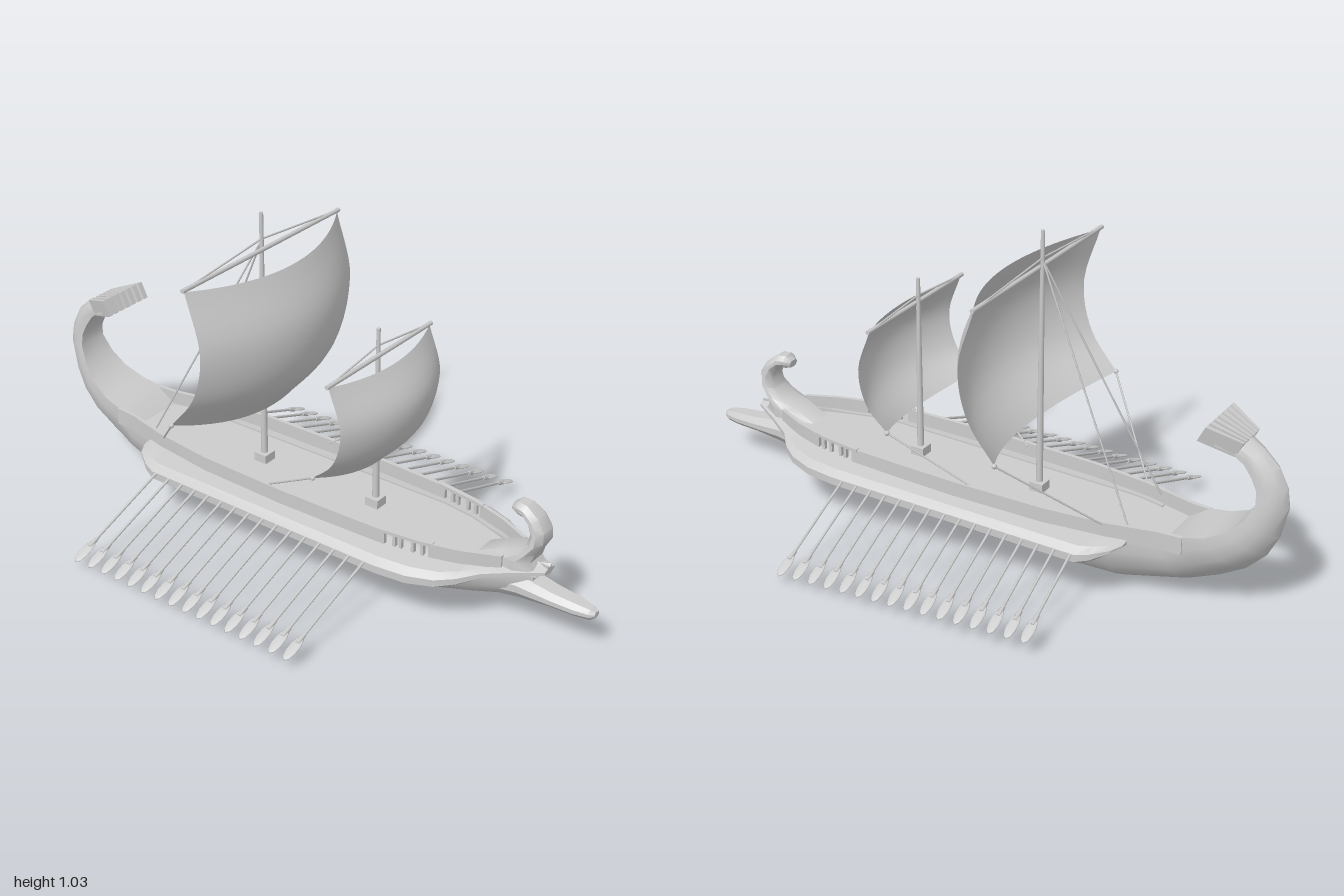
import * as THREE from 'three';
import { toCreasedNormals } from 'three/addons/utils/BufferGeometryUtils.js';

const V = (x, y, z) => new THREE.Vector3(x, y, z);
const mat = new THREE.MeshStandardMaterial({ color: 0xcccccc });
const thin = new THREE.MeshStandardMaterial({ color: 0xcccccc, side: THREE.DoubleSide });

function add(parent, name, geometry, material = mat) {
  const m = new THREE.Mesh(geometry, material);
  m.name = name;
  parent.add(m);
  return m;
}

// Closed skin over a list of closed rings, capped at both ends and wound outwards
function loft(rings, crease = 0.6) {
  const n = rings[0].length, pts = rings.flat(), tris = [];
  for (let i = 0; i < rings.length - 1; i++) {
    for (let j = 0; j < n; j++) {
      const a = i * n + j, b = i * n + (j + 1) % n;
      tris.push([a, b, a + n], [b, b + n, a + n]);
    }
  }
  [0, rings.length - 1].forEach((i, end) => {
    const c = pts.length, mid = V(0, 0, 0);
    rings[i].forEach(p => mid.addScaledVector(p, 1 / n));
    pts.push(mid);
    for (let j = 0; j < n; j++) {
      const a = i * n + j, b = i * n + (j + 1) % n;
      tris.push(end ? [a, b, c] : [b, a, c]);
    }
  });
  let volume = 0;
  for (const [a, b, c] of tris) volume += pts[a].dot(pts[b].clone().cross(pts[c]));
  if (volume < 0) tris.forEach(t => t.reverse());
  const g = new THREE.BufferGeometry().setFromPoints(pts);
  g.setIndex(tris.flat());
  return toCreasedNormals(g, crease);
}

// Symmetric ring between a lower/outer and an upper/inner centreline point;
// profile holds [width fraction, height fraction]
function ring([z0, y0, z1, y1, w], profile) {
  const half = s => profile.map(([f, t]) => V(s * f * w, y0 + (y1 - y0) * t, z0 + (z1 - z0) * t));
  return [...half(1), ...half(-1).reverse()];
}

// Round bar between two points
function rod(parent, name, a, b, r0, r1 = r0, sides = 8) {
  const m = add(parent, name, new THREE.CylinderGeometry(r1, r0, a.distanceTo(b), sides));
  m.position.copy(a).lerp(b, 0.5);
  m.quaternion.setFromUnitVectors(V(0, 1, 0), b.clone().sub(a).normalize());
  return m;
}

// Linear lookup of deck half-width along z
const beam = [[0.8, 0.02], [0.72, 0.065], [0.62, 0.11], [0.5, 0.145], [0.36, 0.163], [0, 0.17],
  [-0.3, 0.163], [-0.5, 0.14], [-0.65, 0.105]];
function halfBeam(z) {
  for (let i = 0; i < beam.length - 1; i++) {
    const [a, wa] = beam[i], [b, wb] = beam[i + 1];
    if (z <= a && z >= b) return wa + (wb - wa) * (a - z) / (a - b);
  }
  return z > 0 ? 0.02 : 0.1;
}

function buildHull(ship) {
  // Hull, sweeping up into the curled sternpost
  const keel = [0.11, 0.085, 0.052, 0.018, 0, 0, 0, 0, 0.055];
  const stations = beam.map(([z, w], i) => [i === 8 ? -0.7 : z, keel[i], z, 0.2, w]);
  stations.push([-0.8, 0.1, -0.71, 0.243, 0.098], [-0.88, 0.148, -0.78, 0.258, 0.09], [-0.94, 0.21, -0.845, 0.29, 0.075],
    [-0.975, 0.28, -0.888, 0.335, 0.062], [-0.997, 0.38, -0.915, 0.39, 0.05], [-0.988, 0.44, -0.912, 0.43, 0.046],
    [-0.96, 0.495, -0.895, 0.465, 0.045], [-0.91, 0.54, -0.87, 0.5, 0.046], [-0.86, 0.567, -0.84, 0.527, 0.055],
    [-0.81, 0.588, -0.79, 0.55, 0.075]);
  const vee = [[0.02, 0], [0.5, 0.2], [0.84, 0.45], [0.98, 0.75], [1, 1]];
  add(ship, 'hull', loft(stations.map(s => ring(s, vee))));

  // Fan of slats at the end of the sternpost
  for (let i = -3; i <= 3; i++) {
    const slat = [[-0.865, 0.56, 0.016, 0.004], [-0.765, 0.6, 0.027, 0.009]].map(([z, y, dx, h]) =>
      [[-h, 0.008], [h, 0.008], [h, -0.04], [-h, -0.04]].map(([x, d]) => V(i * dx + x, y + d, z - d * 0.5)));
    add(ship, 'sternFanSlat', loft(slat));
  }

  // Ram
  const block = [[0.55, 0], [1, 0.35], [1, 0.65], [0.6, 1]];
  add(ship, 'ram', loft([[0.62, 0.08, 0.62, 0.18, 0.06], [0.76, 0.102, 0.76, 0.178, 0.046], [0.86, 0.11, 0.86, 0.16, 0.04],
    [0.94, 0.11, 0.94, 0.153, 0.033], [0.985, 0.112, 0.985, 0.147, 0.022], [1, 0.122, 1, 0.14, 0.012]]
    .map(s => ring(s, block)), 0.3));

  // Curled stem ornament
  add(ship, 'stemCurl', loft([[0.82, 0.195, 0.62, 0.21, 0.06], [0.795, 0.235, 0.69, 0.245, 0.06], [0.805, 0.265, 0.745, 0.265, 0.053],
    [0.828, 0.305, 0.777, 0.29, 0.047], [0.828, 0.34, 0.785, 0.325, 0.043], [0.805, 0.378, 0.775, 0.35, 0.039],
    [0.765, 0.407, 0.757, 0.367, 0.034], [0.735, 0.41, 0.735, 0.37, 0.03], [0.715, 0.395, 0.718, 0.372, 0.018]]
    .map(s => ring(s, block)), 0.7));

  for (const s of [1, -1]) {
    // Outrigger box tapering into the bow wale: [z, outer x, bottom, top]
    const rig = [[-0.56, 0.15, 0.185, 0.2], [-0.54, 0.19, 0.175, 0.2], [-0.49, 0.225, 0.145, 0.2], [-0.45, 0.24, 0.13, 0.2],
      [0.4, 0.24, 0.13, 0.2], [0.5, 0.228, 0.13, 0.2], [0.58, 0.2, 0.137, 0.2], [0.63, 0.165, 0.15, 0.203],
      [0.68, 0.11, 0.165, 0.208], [0.76, 0.065, 0.185, 0.218], [0.84, 0.025, 0.2, 0.226]];
    add(ship, 'outrigger', loft(rig.map(([z, x, lo, hi]) => {
      const h = hi - lo, inner = Math.min(halfBeam(z) - 0.03, x - 0.03);
      return [[inner, lo], [x - 0.035, lo], [x, lo + h * 0.3], [x, lo + h * 0.65], [x - 0.025, lo + h * 0.9], [inner, hi + 0.005]]
        .map(([px, y]) => V(s * px, y, z));
    }), 0.4));

    // Bulwark, with an open stretch near the bow carried on posts under the rail
    const wall = (name, zs, lo, hi, t) => add(ship, name, loft(zs.map(z => {
      const x = halfBeam(z);
      return [[x + 0.001, lo], [x + 0.001, hi], [x - t, hi], [x - t, lo]].map(([px, y]) => V(s * px, y, z));
    })));
    wall('bulwark', [0.38, 0.2, 0, -0.15, -0.3, -0.4, -0.5, -0.58, -0.65, -0.72], 0.19, 0.245, 0.012);
    wall('bulwark', [0.52, 0.57, 0.62, 0.67, 0.72], 0.19, 0.245, 0.012);
    wall('rail', [0.53, 0.5, 0.36], 0.237, 0.247, 0.014);
    for (const z of [0.41, 0.43, 0.47, 0.5]) {
      const post = add(ship, 'railPost', new THREE.BoxGeometry(0.012, 0.045, 0.01));
      post.position.set(s * (halfBeam(z) - 0.007), 0.22, z);
    }
  }
}

// One oar, shaft plus flat blade, running from root to tip
function buildOar(ship, root, tip) {
  const oar = new THREE.Group();
  oar.name = 'oar';
  const dir = tip.clone().sub(root).normalize();
  const neck = tip.clone().addScaledVector(dir, -0.085);
  rod(oar, 'oarShaft', root, neck, 0.0045, 0.0045, 6);
  rod(oar, 'oarCollar', neck.clone().addScaledVector(dir, -0.015), neck.clone().addScaledVector(dir, 0.02), 0.007, 0.008, 6);
  const g = new THREE.SphereGeometry(1, 10, 8).scale(0.046, 0.004, 0.017);
  const blade = add(oar, 'oarBlade', g);
  blade.position.copy(tip).addScaledVector(dir, -0.045);
  blade.quaternion.setFromUnitVectors(V(1, 0, 0), dir);
  ship.add(oar);
}

// Mast, yard, billowing sail and its lines; edge and middle are [y, z] points from top to foot
function buildRig(ship, name, { z, top, yardY, half, edge, middle, brace, sheetTo }) {
  const rig = new THREE.Group();
  rig.name = name;
  rod(rig, 'mast', V(0, 0.19, z), V(0, top, z), 0.011, 0.006, 10);
  const step = add(rig, 'mastStep', new THREE.BoxGeometry(0.045, 0.03, 0.045));
  step.position.set(0, 0.213, z);
  rod(rig, 'yard', V(-half - 0.008, yardY, z + 0.008), V(half + 0.008, yardY, z + 0.008), 0.007);

  const curve = pts => new THREE.CatmullRomCurve3(pts.map(([y, pz]) => V(0, y, pz)));
  const side = curve(edge), mid = curve(middle);
  const g = new THREE.PlaneGeometry(2, 1, 24, 16), p = g.attributes.position;
  for (let i = 0; i < p.count; i++) {
    const u = p.getX(i), v = 0.5 - p.getY(i);
    const q = side.getPoint(v).lerp(mid.getPoint(v), 1 - u * u);
    p.setXYZ(i, u * half, q.y, q.z);
  }
  g.computeVertexNormals();
  add(rig, 'sail', g, thin);

  const [footY, footZ] = edge[edge.length - 1];
  for (const s of [1, -1]) {
    const corner = V(s * half, footY, footZ);
    add(rig, 'sailCornerKnot', new THREE.SphereGeometry(0.008, 8, 6)).position.copy(corner);
    rod(rig, 'sheet', corner, V(s * sheetTo[0], 0.235, sheetTo[1]), 0.003, 0.003, 5);
    rod(rig, 'lift', V(s * half, yardY, z + 0.008), V(0, brace, z), 0.003, 0.003, 5);
  }
  ship.add(rig);
}

export function createModel() {
  const ship = new THREE.Group();
  ship.name = 'galley';
  buildHull(ship);

  // Sixteen oars a side; the left bank is swept back a little
  for (let i = 0; i < 16; i++) {
    const t = i / 15, z = -0.435 + 0.8 * t;
    buildOar(ship, V(-0.2, 0.187, z), V(-0.6, 0.033, z - 0.008));
    buildOar(ship, V(0.2, 0.187, z), V(0.54 + 0.06 * t, 0.05 - 0.017 * t, z - 0.027));
  }

  buildRig(ship, 'mainRig', {
    z: -0.195, top: 1.035, yardY: 0.92, half: 0.355, brace: 0.95, sheetTo: [0.138, -0.49],
    edge: [[0.915, -0.187], [0.73, -0.135], [0.58, -0.165], [0.46, -0.255]],
    middle: [[0.9, -0.08], [0.73, -0.012], [0.56, -0.035], [0.41, -0.155]],
  });
  buildRig(ship, 'foreRig', {
    z: 0.232, top: 0.79, yardY: 0.708, half: 0.246, brace: 0.735, sheetTo: [0.155, -0.06],
    edge: [[0.705, 0.24], [0.57, 0.283], [0.46, 0.255], [0.392, 0.185]],
    middle: [[0.695, 0.29], [0.58, 0.355], [0.46, 0.335], [0.357, 0.245]],
  });
  for (const s of [1, -1]) rod(ship, 'backstay', V(0, 0.945, -0.195), V(s * 0.105, 0.235, -0.55), 0.003, 0.003, 5);
  return ship;
}
